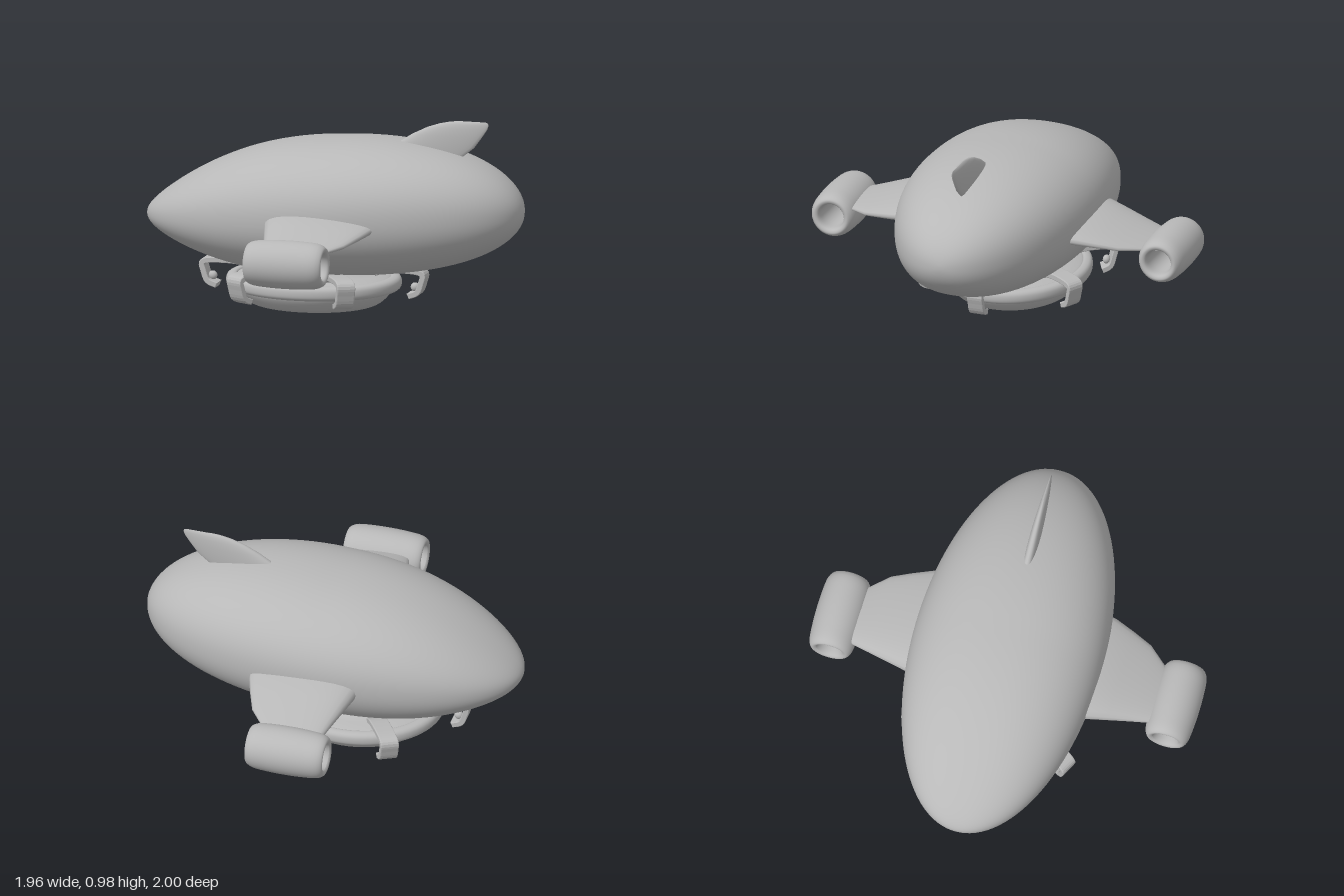
import * as THREE from 'three';
import { mergeVertices } from 'three/addons/utils/BufferGeometryUtils.js';

const grey = new THREE.MeshStandardMaterial({ color: 0xb8b8b8 });
grey.name = 'hull grey';

function add(parent, name, geometry) {
  const mesh = new THREE.Mesh(geometry, grey);
  mesh.name = name;
  parent.add(mesh);
  return mesh;
}

// Smooth skin through rings of equal point count
function loft(rings) {
  const n = rings[0].length, index = [];
  for (let i = 0; i < rings.length - 1; i++) {
    for (let j = 0; j < n; j++) {
      const k = (j + 1) % n, a = i * n + j, b = i * n + k;
      index.push(a, a + n, b, b, a + n, b + n);
    }
  }
  const g = new THREE.BufferGeometry().setFromPoints(rings.flat());
  g.setIndex(index);
  g.computeVertexNormals();
  return g;
}

// Foil outline: chord position and signed thickness, blunt in front, thin behind
function foil(from, to, half, place) {
  const ring = [];
  for (let j = 0; j < 28; j++) {
    const p = j / 28 * Math.PI * 2, s = (1 - Math.cos(p)) / 2;
    const thick = Math.sign(Math.sin(p)) * Math.pow(Math.abs(Math.sin(p)), 0.8) * half * (1.15 - 0.5 * s);
    ring.push(place(from + (to - from) * s, thick));
  }
  return ring;
}

function smoothLathe(points, closed) {
  const curve = new THREE.CatmullRomCurve3(points.map(([r, y]) => new THREE.Vector3(r, y, 0)), closed, 'centripetal');
  return new THREE.LatheGeometry(curve.getPoints(48).map(p => new THREE.Vector2(p.x, p.y)), 64);
}

// Envelope: sphere stretched along x, lower and slimmer at the nose
function hullGeometry() {
  let g = new THREE.SphereGeometry(1, 80, 56).rotateZ(Math.PI / 2);
  const p = g.attributes.position;
  for (let i = 0; i < p.count; i++) {
    const x = p.getX(i) * 0.98, y = p.getY(i), z = p.getZ(i);
    const angle = Math.atan2(z, y), c = Math.cos(angle), s = Math.sin(angle);
    const rad = Math.hypot(y, z) / Math.pow(Math.abs(c) ** 2.2 + Math.abs(s) ** 2.2, 1 / 2.2);
    const taper = x < 0 ? 1 + 0.4 * x ** 3 : 1 + 0.1 * x;
    const mid = 0.515 + 0.047 * x - 0.04 * x * x;
    p.setXYZ(i, x, mid + 0.345 * rad * c * taper, 0.485 * rad * s);
  }
  g.deleteAttribute('uv');
  g.deleteAttribute('normal');
  g = mergeVertices(g, 1e-5);
  g.computeVertexNormals();
  return g;
}

// Curved strap cut from a path of (radius, height) points
function strapGeometry() {
  const path = new THREE.SplineCurve([[0.33, 0.18], [0.38, 0.195], [0.46, 0.2], [0.545, 0.196], [0.578, 0.18],
    [0.57, 0.14], [0.55, 0.09], [0.505, 0.07]].map(([x, y]) => new THREE.Vector2(x, y)));
  const outer = [], inner = [];
  for (let i = 0; i <= 28; i++) {
    const p = path.getPoint(i / 28), t = path.getTangent(i / 28);
    outer.push(new THREE.Vector2(p.x - t.y * 0.011, p.y + t.x * 0.011));
    inner.unshift(new THREE.Vector2(p.x + t.y * 0.011, p.y - t.x * 0.011));
  }
  return new THREE.ExtrudeGeometry(new THREE.Shape([...outer, ...inner]), {
    depth: 0.084, bevelEnabled: true, bevelSize: 0.004, bevelThickness: 0.006, bevelSegments: 2,
  }).translate(0, 0, -0.042);
}

export function createModel() {
  const model = new THREE.Group();
  model.name = 'airship';
  add(model, 'envelope', hullGeometry());

  // Tail fin: height, leading x, trailing x, half thickness
  const finRows = [[0.72, 0.1, 0.6, 0.03], [0.8, 0.23, 0.67, 0.03], [0.845, 0.315, 0.725, 0.029], [0.9, 0.4, 0.765, 0.026],
    [0.94, 0.48, 0.792, 0.02], [0.962, 0.545, 0.8, 0.014], [0.974, 0.6, 0.797, 0.008], [0.979, 0.65, 0.785, 0.001]];
  add(model, 'tailFin', loft(finRows.map(([y, a, b, h]) => foil(a, b, h, (x, t) => new THREE.Vector3(x, y, -t)))));

  // Wings: span, leading x, trailing x, middle height, half thickness
  const wingRows = [[0.36, -0.27, 0.34, 0.49, 0.075], [0.48, -0.238, 0.315, 0.478, 0.07], [0.58, -0.21, 0.28, 0.46, 0.058],
    [0.68, -0.182, 0.24, 0.441, 0.044], [0.8, -0.15, 0.14, 0.418, 0.026], [0.85, -0.14, 0.1, 0.408, 0.02]];
  const engineProfile = [[0.07, -0.196], [0.09, -0.204], [0.108, -0.182], [0.12, -0.09], [0.121, 0.08],
    [0.11, 0.175], [0.09, 0.202], [0.07, 0.194], [0.063, 0.12], [0.063, -0.12]];
  for (const [side, word] of [[1, 'front'], [-1, 'back']]) {
    const rings = wingRows.map(([z, a, b, m, h]) => foil(a, b, h, (x, t) => new THREE.Vector3(x, m + t, side * z)));
    if (side < 0) rings.reverse();
    add(model, word + 'Wing', loft(rings));
    const engine = add(model, word + 'Engine', smoothLathe(engineProfile, true).rotateZ(-Math.PI / 2));
    engine.position.set(-0.005, 0.378, side * 0.879);
  }

  // Oval gondola under the envelope
  const gondola = new THREE.Group();
  gondola.name = 'gondola';
  gondola.position.x = -0.115;
  gondola.scale.z = 0.85;
  model.add(gondola);
  add(gondola, 'bowl', smoothLathe([[0.1, 0.1], [0.15, 0.092], [0.21, 0.055], [0.255, 0.012], [0.29, 0.001], [0.335, 0.013],
    [0.375, 0.045], [0.405, 0.09], [0.4, 0.14], [0.36, 0.155], [0.29, 0.17], [0.23, 0.21], [0.2, 0.25]], false));
  add(gondola, 'rimRing', smoothLathe([[0.395, 0.083], [0.43, 0.085], [0.445, 0.1], [0.445, 0.135], [0.43, 0.151],
    [0.395, 0.153], [0.385, 0.118]], true));
  add(gondola, 'hatchCollar', new THREE.LatheGeometry([[0, 0.1], [0.088, 0.1], [0.088, 0.045], [0.104, 0.045], [0.104, 0.11]]
    .map(([r, y]) => new THREE.Vector2(r, y)), 40));

  // Six straps with a knob inside each hook
  const strap = strapGeometry();
  const knob = new THREE.SphereGeometry(0.023, 20, 14);
  for (let i = 0; i < 6; i++) {
    const hook = new THREE.Group();
    hook.name = 'hook' + (i + 1);
    hook.rotation.y = i * Math.PI / 3;
    add(hook, 'strap', strap);
    add(hook, 'knob', knob).position.set(0.53, 0.113, 0);
    gondola.add(hook);
  }
  return model;
}
